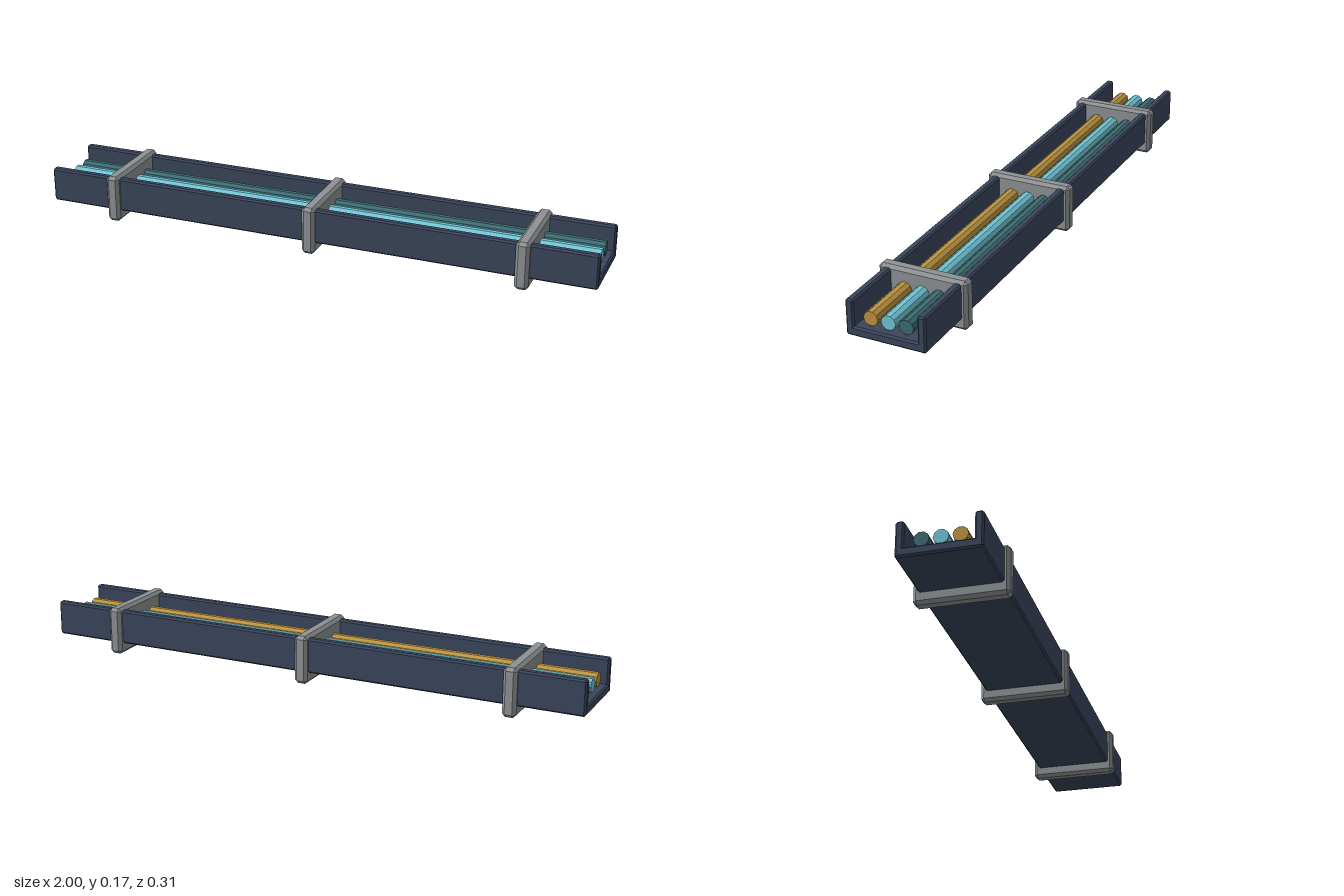
import * as THREE from 'three';
import { ConvexGeometry } from 'three/addons/geometries/ConvexGeometry.js';

const material = (name, color) => {
  const m = new THREE.MeshStandardMaterial({ color });
  m.name = name;
  return m;
};

// Box with every edge cut at 45 degrees: three points near each corner
function chamferedBox(w, h, d, c) {
  const points = [];
  for (const sx of [-1, 1]) for (const sy of [-1, 1]) for (const sz of [-1, 1]) {
    const x = w / 2, y = h / 2, z = d / 2;
    points.push(
      new THREE.Vector3(sx * x, sy * (y - c), sz * (z - c)),
      new THREE.Vector3(sx * (x - c), sy * y, sz * (z - c)),
      new THREE.Vector3(sx * (x - c), sy * (y - c), sz * z));
  }
  return new ConvexGeometry(points);
}

export function createModel() {
  const model = new THREE.Group();
  model.name = 'cableTray';

  const navy = material('navy', 0x3b465c);
  const grey = material('grey', 0x8e9294);
  const amber = material('amber', 0xbd9440);
  const cyan = material('cyan', 0x72c6d6);
  const teal = material('teal', 0x3c6c72);

  const add = (name, geometry, mat, x, y, z) => {
    const mesh = new THREE.Mesh(geometry, mat);
    mesh.name = name;
    mesh.position.set(x, y, z);
    model.add(mesh);
  };

  // Open channel: floor and two side walls
  add('channelFloor', chamferedBox(2, 0.033, 0.274, 0.006), navy, 0, 0.0545, 0);
  const wall = chamferedBox(2, 0.123, 0.028, 0.006);
  add('frontWall', wall, navy, 0, 0.0995, 0.123);
  add('backWall', wall, navy, 0, 0.0995, -0.123);

  // Three ten-sided cables lying along the channel
  const cable = new THREE.CylinderGeometry(0.025, 0.025, 1.96, 10).rotateZ(Math.PI / 2).toNonIndexed();
  cable.computeVertexNormals();
  add('frontCable', cable, amber, 0, 0.101, 0.061);
  add('middleCable', cable, cyan, 0, 0.101, 0);
  add('backCable', cable, teal, 0, 0.101, -0.061);

  // Solid brackets across the channel
  const bracket = chamferedBox(0.048, 0.17, 0.31, 0.011);
  for (const x of [-0.75, 0, 0.75]) add('bracket', bracket, grey, x, 0.085, 0);

  return model;
}
